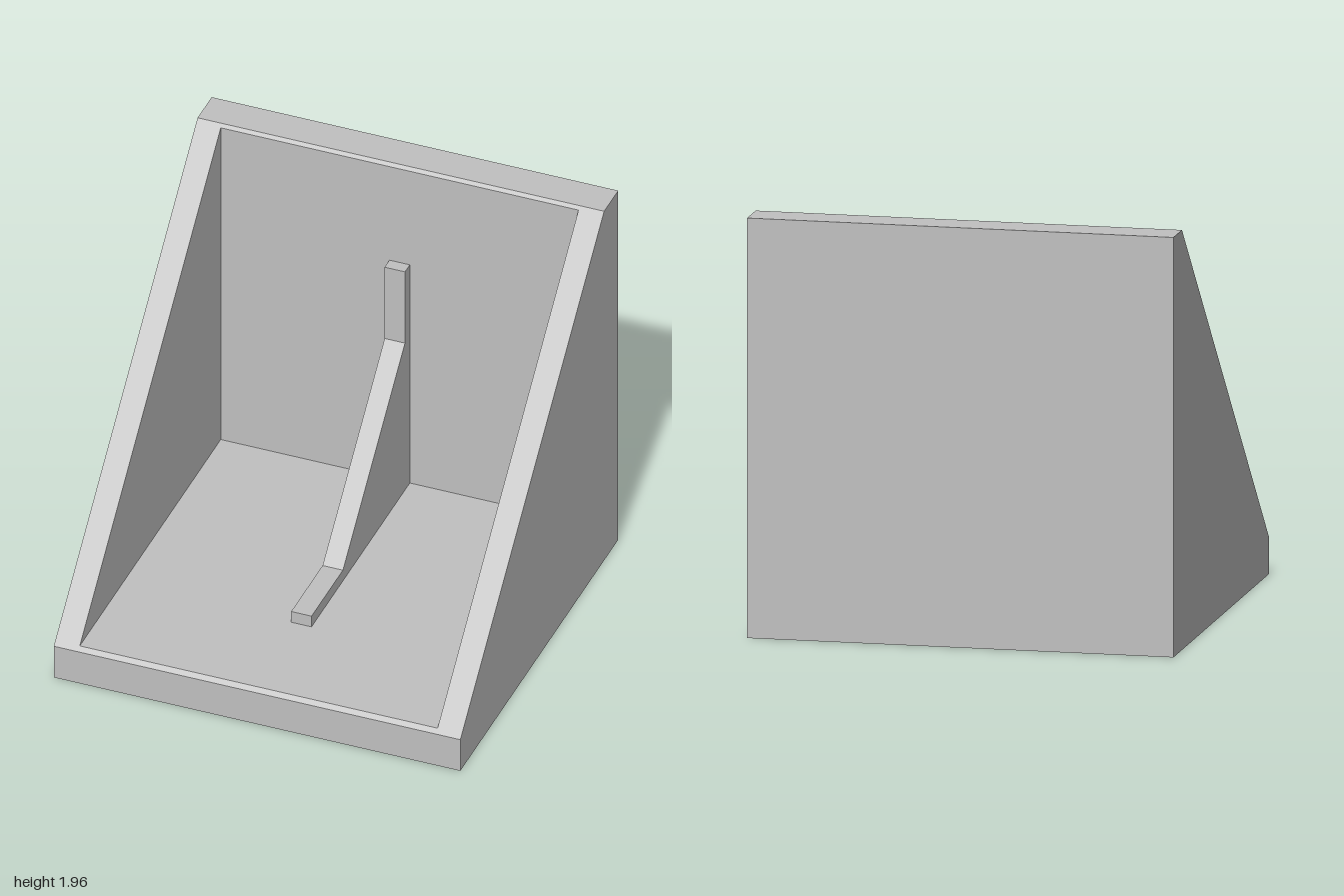
import * as THREE from 'three';

const grey = new THREE.MeshStandardMaterial({ color: 0xc0c0c0 });
grey.name = 'plain grey';

// Extrude a side profile, given as [z, y] points, across x from x0 to x1
function slab(name, profile, x0, x1) {
  const shape = new THREE.Shape(profile.map(([z, y]) => new THREE.Vector2(-z, y)));
  const geometry = new THREE.ExtrudeGeometry(shape, { depth: x1 - x0, bevelEnabled: false });
  geometry.rotateY(Math.PI / 2).translate(x0, 0, 0);
  const mesh = new THREE.Mesh(geometry, grey);
  mesh.name = name;
  return mesh;
}

export function createModel() {
  const group = new THREE.Group();
  group.name = 'angleBracket';

  const front = 0.98, back = -0.98, top = 1.96, lip = 0.175;
  const floorY = 0.195, wallZ = -0.79, inner = 0.88;
  const slopeSum = front + lip; // the open face is the 45 degree plane z + y = slopeSum

  // Floor and back wall, with edges cut along the sloped plane
  group.add(slab('floorAndBackWall', [
    [front, 0], [front, lip], [slopeSum - floorY, floorY], [wallZ, floorY],
    [wallZ, slopeSum - wallZ], [slopeSum - top, top], [back, top], [back, 0],
  ], -inner, inner));

  // Side walls
  const side = [[front, 0], [front, lip], [slopeSum - top, top], [back, top], [back, 0]];
  group.add(slab('leftWall', side, inner, 1));
  group.add(slab('rightWall', side, -1, -inner));

  // Central stiffening rib with a foot on the floor and a tab up the wall
  group.add(slab('centreRib', [
    [wallZ, floorY], [0.43, floorY], [0.43, 0.255], [0.04, 0.255],
    [-0.73, 1.02], [-0.73, 1.42], [wallZ, 1.42],
  ], -0.05, 0.05));

  return group;
}
